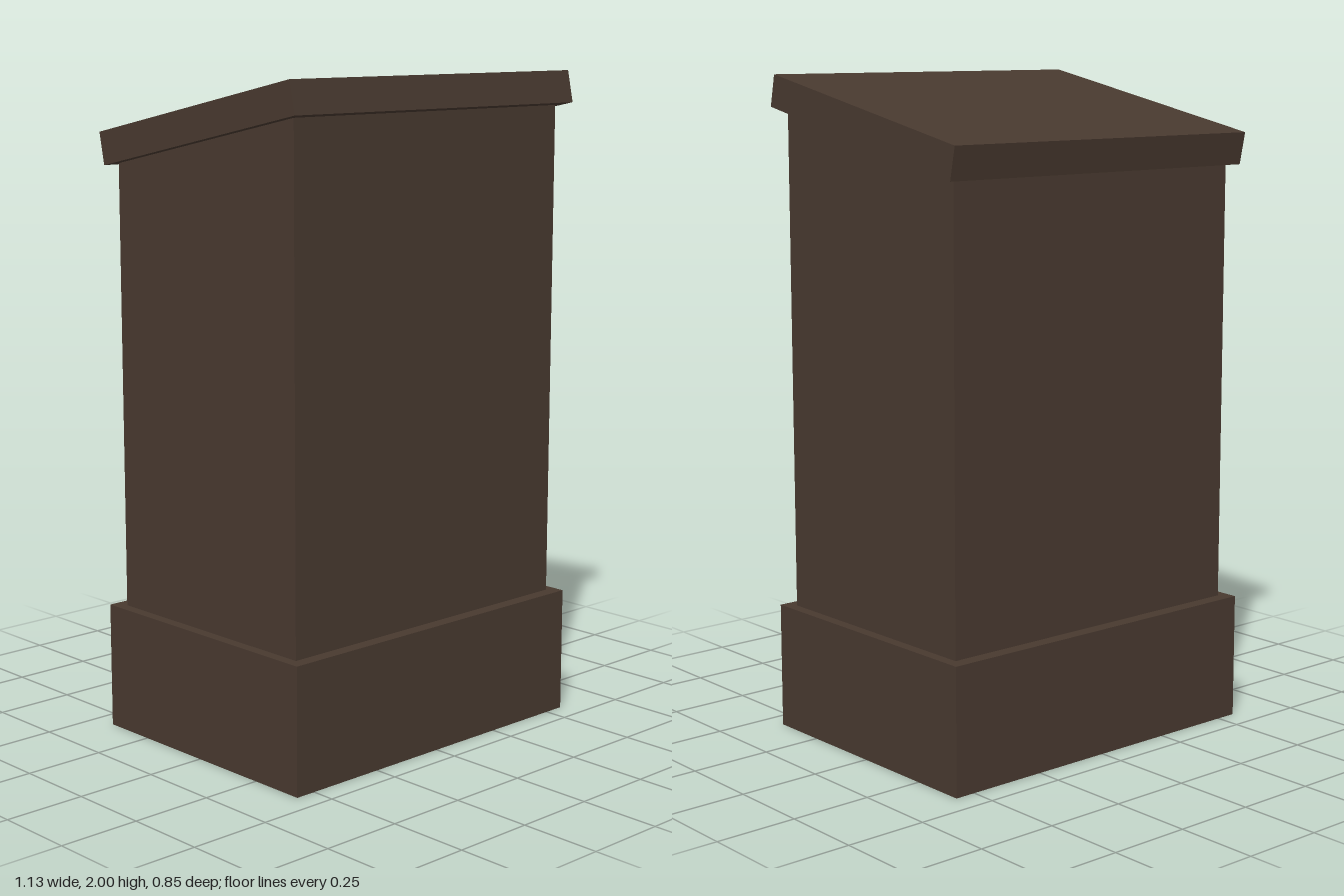
import * as THREE from 'three';

export function createModel() {
  const group = new THREE.Group();
  const darkWood = new THREE.MeshStandardMaterial({ color: 0x48392f });
  darkWood.name = 'darkWood';

  // Extrudes a (z, y) side profile across the width, centred on x = 0
  function addPart(name, profile, width) {
    const shape = new THREE.Shape(profile.map(([z, y]) => new THREE.Vector2(-z, y)));
    const geometry = new THREE.ExtrudeGeometry(shape, { depth: width, bevelEnabled: false });
    geometry.translate(0, 0, -width / 2);
    geometry.rotateY(Math.PI / 2);
    const mesh = new THREE.Mesh(geometry, darkWood);
    mesh.name = name;
    group.add(mesh);
  }

  // Wide plinth
  addPart('base', [[0.427, 0], [-0.422, 0], [-0.422, 0.385], [0.427, 0.385]], 1.13);
  // Upright body with a sloping top, tucked just under the lid
  addPart('body', [[0.387, 0.385], [-0.38, 0.385], [-0.38, 1.737], [0.387, 1.899]], 1.064);
  // Tilted slab lid
  addPart('lid', [[0.427, 1.905], [-0.407, 1.729], [-0.427, 1.826], [0.407, 2]], 1.13);

  return group;
}
